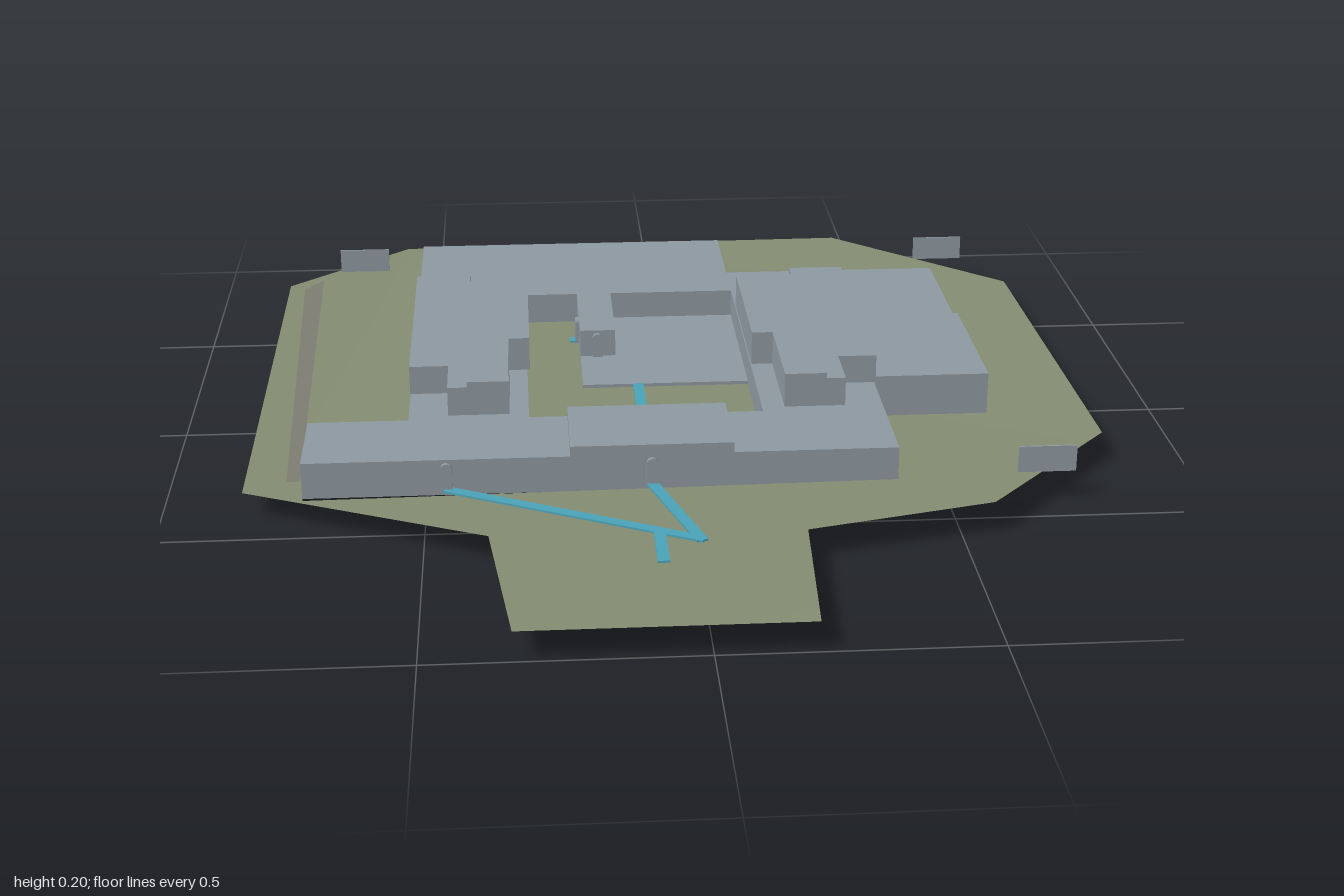
import * as THREE from 'three';

const mat = (name, color, side = THREE.FrontSide) => {
  const m = new THREE.MeshStandardMaterial({ color, side });
  m.name = name;
  return m;
};

// Shape from ground-plan points [x, z]
const plan = (pts) => new THREE.Shape(pts.map(([x, z]) => new THREE.Vector2(x, -z)));

export function createModel() {
  const group = new THREE.Group();
  const stone = mat('slate grey', 0x8e99a1);
  const grass = mat('olive green', 0x848d72, THREE.DoubleSide);
  const blue = mat('path blue', 0x4ba3b8);
  const gravel = mat('gravel grey', 0x7e7d72, THREE.DoubleSide);

  const add = (name, geo, material) => {
    const mesh = new THREE.Mesh(geo, material);
    mesh.name = name;
    group.add(mesh);
    return mesh;
  };
  // Box given by its limits
  const block = (name, x0, x1, y0, y1, z0, z1, material = stone) => {
    const geo = new THREE.BoxGeometry(x1 - x0, y1 - y0, z1 - z0);
    geo.translate((x0 + x1) / 2, (y0 + y1) / 2, (z0 + z1) / 2);
    return add(name, geo, material);
  };
  // Upright prism over a ground plan
  const prism = (name, shape, y0, y1) => {
    const geo = new THREE.ExtrudeGeometry(shape, { depth: y1 - y0, bevelEnabled: false });
    geo.rotateX(-Math.PI / 2).translate(0, y0, 0);
    return add(name, geo, stone);
  };

  const footprint = [[-0.73, 0.43], [0.4, 0.43], [0.4, 0.12], [0.63, 0.12], [0.63, -0.58],
    [0.16, -0.58], [0.16, -0.81], [-0.535, -0.81], [-0.535, 0.235], [-0.73, 0.235]];
  const court = [[-0.3, 0.235], [0.16, 0.235], [0.16, -0.46], [-0.11, -0.46],
    [-0.11, -0.23], [-0.185, -0.23], [-0.185, -0.46], [-0.3, -0.46]];

  // Lawn: rim points [x, z, height], cut out beneath the buildings
  const rim = [[-0.58, -1, 0.05], [0.46, -1, 0.055], [0.82, -0.65, 0.057], [0.84, 0.24, 0.056],
    [0.56, 0.57, 0.066], [0.2, 0.65, 0.06], [0.18, 1, 0.058], [-0.34, 1, 0.058],
    [-0.38, 0.63, 0.056], [-0.845, 0.4, 0.05], [-0.845, -0.75, 0.05]];
  const lawnShape = plan(rim);
  lawnShape.holes.push(plan(footprint));
  const lawn = new THREE.ShapeGeometry(lawnShape).rotateX(-Math.PI / 2);
  const p = lawn.attributes.position;
  for (let i = 0; i < p.count; i++) {
    const x = p.getX(i), z = p.getZ(i);
    const r = rim.find((q) => Math.hypot(q[0] - x, q[1] - z) < 0.001);
    p.setY(i, r ? r[2] : x < -0.6 ? 0.044 : 0.054);
  }
  lawn.computeVertexNormals();
  add('lawn', lawn, grass);

  // Courtyard lawn
  add('courtyardLawn', new THREE.ShapeGeometry(plan(court))
    .rotateX(-Math.PI / 2).translate(0, 0.055, 0), grass);

  // Gravel strip along one edge of the lawn
  add('gravelStrip', new THREE.ShapeGeometry(plan([[-0.81, -0.72], [-0.77, -0.78],
    [-0.74, 0.36], [-0.765, 0.36]])).rotateX(-Math.PI / 2).translate(0, 0.052, 0), gravel);

  // Ground floor ring around the courtyard
  const ring = plan(footprint);
  ring.holes.push(plan(court));
  prism('groundFloor', ring, 0.048, 0.12);
  block('sunkenHall', -0.185, 0.16, 0, 0.062, -0.46, -0.065);
  block('entranceHall', -0.225, 0.085, 0.12, 0.14, 0.235, 0.43);
  block('sideHall', 0.4, 0.63, 0.12, 0.14, -0.23, 0.12);

  // Upper wings, mirrored about the courtyard axis: a low outer and a high inner strip
  const axis = -0.0675;
  for (const s of [-1, 1]) {
    const side = s < 0 ? 'right' : 'left';
    const at = (pts) => plan(pts.map(([d, z]) => [axis + s * d, z]));
    prism(side + 'OuterWing', at([[0.352, -0.415], [0.4675, -0.415], [0.4675, 0.12],
      [0.39, 0.12], [0.39, 0.235], [0.352, 0.235]]), 0.128, 0.186);
    prism(side + 'InnerWing', at([[0.2275, -0.345], [0.352, -0.345], [0.352, 0.235],
      [0.27, 0.235], [0.27, 0.005], [0.2275, 0.005]]), 0.128, 0.197);
  }

  // Arched doors
  const door = new THREE.Shape();
  door.moveTo(-0.011, 0);
  door.lineTo(0.011, 0);
  door.lineTo(0.011, 0.045);
  door.absarc(0, 0.045, 0.011, 0, Math.PI, false);
  const doorGeo = new THREE.ExtrudeGeometry(door,
    { depth: 0.008, bevelEnabled: false, curveSegments: 6 }).translate(0, 0, -0.004);
  for (const [x, z, turn] of [[-0.458, 0.434, 0], [-0.07, 0.434, 0], [-0.07, 0.231, 0],
    [-0.148, -0.226, 0], [-0.189, -0.33, Math.PI / 2]]) {
    const m = add('door', doorGeo, stone);
    m.position.set(x, 0.058, z);
    m.rotation.y = turn;
  }

  // Blue paths
  const path = (x0, z0, x1, z1) => {
    const len = Math.hypot(x1 - x0, z1 - z0);
    const m = add('path', new THREE.BoxGeometry(len, 0.004, 0.022), blue);
    m.position.set((x0 + x1) / 2, 0.061, (z0 + z1) / 2);
    m.rotation.y = -Math.atan2(z1 - z0, x1 - x0);
  };
  path(-0.46, 0.435, 0.01, 0.68);
  path(-0.07, 0.435, 0.005, 0.685);
  path(-0.07, 0.64, -0.07, 0.765);
  path(-0.07, -0.065, -0.07, 0.235);
  path(-0.205, -0.33, -0.185, -0.33);

  // Free-standing corner panels
  for (const [x, z] of [[0.63, -0.81], [0.63, 0.43], [-0.73, -0.81]])
    block('cornerPanel', x, x + 0.113, 0.062, 0.115, z - 0.002, z + 0.002);

  return group;
}
